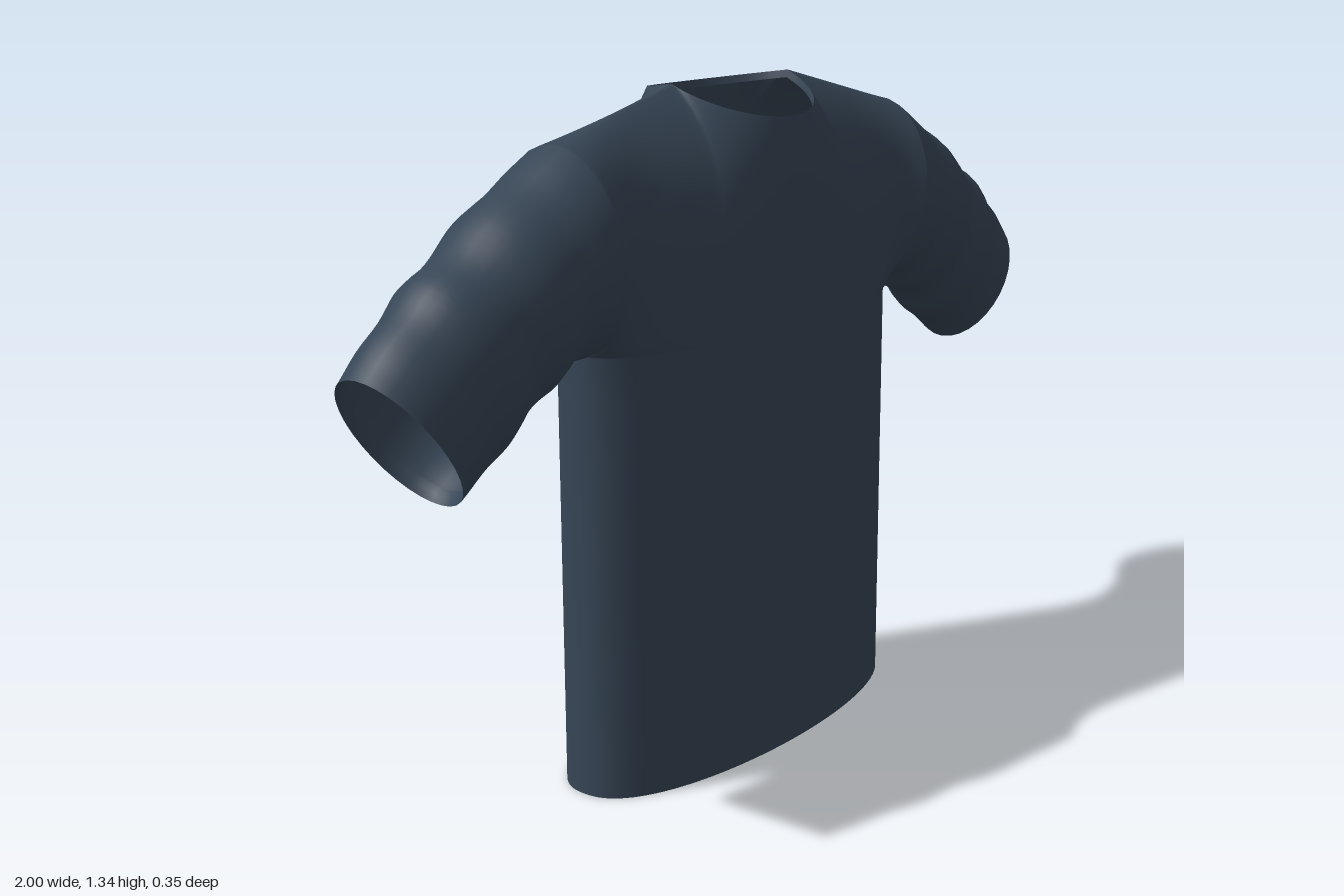
import * as THREE from 'three';
import { mergeGeometries, mergeVertices } from 'three/addons/utils/BufferGeometryUtils.js';

const ARMPIT = 0.87, NECK_U = 0.375, ARM_DEPTH = 0.147;
const V = (x, y, z) => new THREE.Vector3(x, y, z);

// Surface grid from a rule f(i, j); flip reverses the facing
function grid(ni, nj, f, flip = false) {
  const pos = [], idx = [];
  for (let j = 0; j <= nj; j++)
    for (let i = 0; i <= ni; i++) pos.push(...f(i, j).toArray());
  for (let j = 0; j < nj; j++)
    for (let i = 0; i < ni; i++) {
      const a = j * (ni + 1) + i, b = a + 1, c = a + ni + 1, d = c + 1;
      if (flip) idx.push(a, d, b, a, c, d);
      else idx.push(a, b, d, a, d, c);
    }
  const g = new THREE.BufferGeometry();
  g.setAttribute('position', new THREE.Float32BufferAttribute(pos, 3));
  g.setIndex(idx);
  return g;
}

function smooth(...parts) {
  const g = mergeVertices(mergeGeometries(parts), 1e-4);
  g.computeVertexNormals();
  return g;
}

// Top edge of the torso: oval neckline, then the shoulder ridge
function topEdge(u, side) {
  const a = Math.abs(u);
  if (a <= NECK_U) {
    const p = (u / NECK_U) * Math.PI / 2, c = Math.cos(p);
    return V(0.187 * Math.sin(p), 1.34 - (side > 0 ? 0.066 : 0.02) * c, 0.147 * c);
  }
  const k = (a - NECK_U) / (1 - NECK_U);
  return V(Math.sign(u) * (0.187 + 0.333 * k), 1.34 - 0.08 * k, 0);
}

// Front (side 1) or back (side -1) panel: straight below the armpit, shaped above
function panel(side) {
  const cols = 64, low = 10, high = 16;
  return grid(cols, low + high, (i, j) => {
    const u = -1 + 2 * i / cols;
    const x = 0.47 * Math.sin(u * Math.PI / 2);
    const z = 0.175 * Math.pow(Math.max(0, Math.cos(u * Math.PI / 2)), 0.85);
    if (j <= low) return V(x, ARMPIT * j / low, side * z);
    const t = (1 - Math.cos(Math.PI * (j - low) / high)) / 2;
    const top = topEdge(u, side), k = Math.pow(t, 4);
    const bulge = ARM_DEPTH * Math.sqrt(Math.max(0, 4 * t * (1 - t))) * Math.pow(Math.abs(u), 4);
    return V(
      x + (top.x - x) * t,
      ARMPIT + (top.y - ARMPIT) * t,
      side * (z * (1 - k) + top.z * k + bulge)
    );
  }, side < 0);
}

// Sleeve outline above and below the arm; z holds the half depth
const sleeveTop = new THREE.CatmullRomCurve3([
  V(0.52, 1.26, ARM_DEPTH), V(0.66, 1.18, 0.146), V(0.8, 1.09, 0.135),
  V(0.9, 1.02, 0.125), V(1, 0.93, 0.113)]);
const sleeveLow = new THREE.CatmullRomCurve3([
  V(0.47, 0.87, 0), V(0.53, 0.868, 0), V(0.62, 0.82, 0),
  V(0.72, 0.745, 0), V(0.82, 0.675, 0)]);

function sleevePoint(phi, s, sx, shrink = 0) {
  const a = sleeveTop.getPoint(s), b = sleeveLow.getPoint(s);
  const c = (1 + Math.cos(phi)) / 2;
  // soft cloth ripples that fade out at both ends
  const ripple = 1 + 0.03 * Math.sin(s * 21 + 1.5 * Math.cos(phi)) * Math.sin(Math.PI * s);
  const m = a.clone().add(b).multiplyScalar(0.5);
  const p = b.clone().lerp(a, c).sub(m).multiplyScalar(ripple - shrink).add(m);
  return V(sx * p.x, p.y, a.z * Math.sin(phi) * (ripple - shrink));
}

export function createModel() {
  const cloth = new THREE.MeshStandardMaterial({ color: 0x364555, side: THREE.DoubleSide });
  cloth.name = 'slate blue cloth';
  const shirt = new THREE.Group();
  shirt.name = 'shirt';
  const add = (name, geometry) => {
    const mesh = new THREE.Mesh(geometry, cloth);
    mesh.name = name;
    shirt.add(mesh);
  };

  add('torso', smooth(panel(1), panel(-1)));

  for (const sx of [1, -1]) {
    const side = sx > 0 ? 'left' : 'right';
    add(side + 'Sleeve', smooth(grid(32, 32,
      (i, j) => sleevePoint(i / 32 * Math.PI * 2, j / 32, sx), sx < 0)));
    // folded cuff edge inside the sleeve
    add(side + 'CuffFold', smooth(grid(32, 2,
      (i, j) => sleevePoint(i / 32 * Math.PI * 2, 1 - 0.03 * j, sx, j ? 0.04 : 0), sx < 0)));
  }

  // folded bottom hem, just inside the torso
  add('hemFold', smooth(...[1, -1].map(side => grid(64, 2, (i, j) => {
    const a = (-1 + 2 * i / 64) * Math.PI / 2, k = j ? 0.985 : 1;
    return V(0.47 * k * Math.sin(a), 0.01 * j,
      side * 0.175 * k * Math.pow(Math.max(0, Math.cos(a)), 0.85));
  }, side > 0))));

  // narrow neckband turned to the inside
  add('neckband', smooth(...[1, -1].map(side => grid(24, 1, (i, j) => {
    const p = topEdge(NECK_U * (-1 + i / 12), side);
    return V(p.x * (1 - 0.02 * j), p.y - 0.015 * j, side * p.z * (1 - 0.02 * j));
  }, side > 0))));

  return shirt;
}
